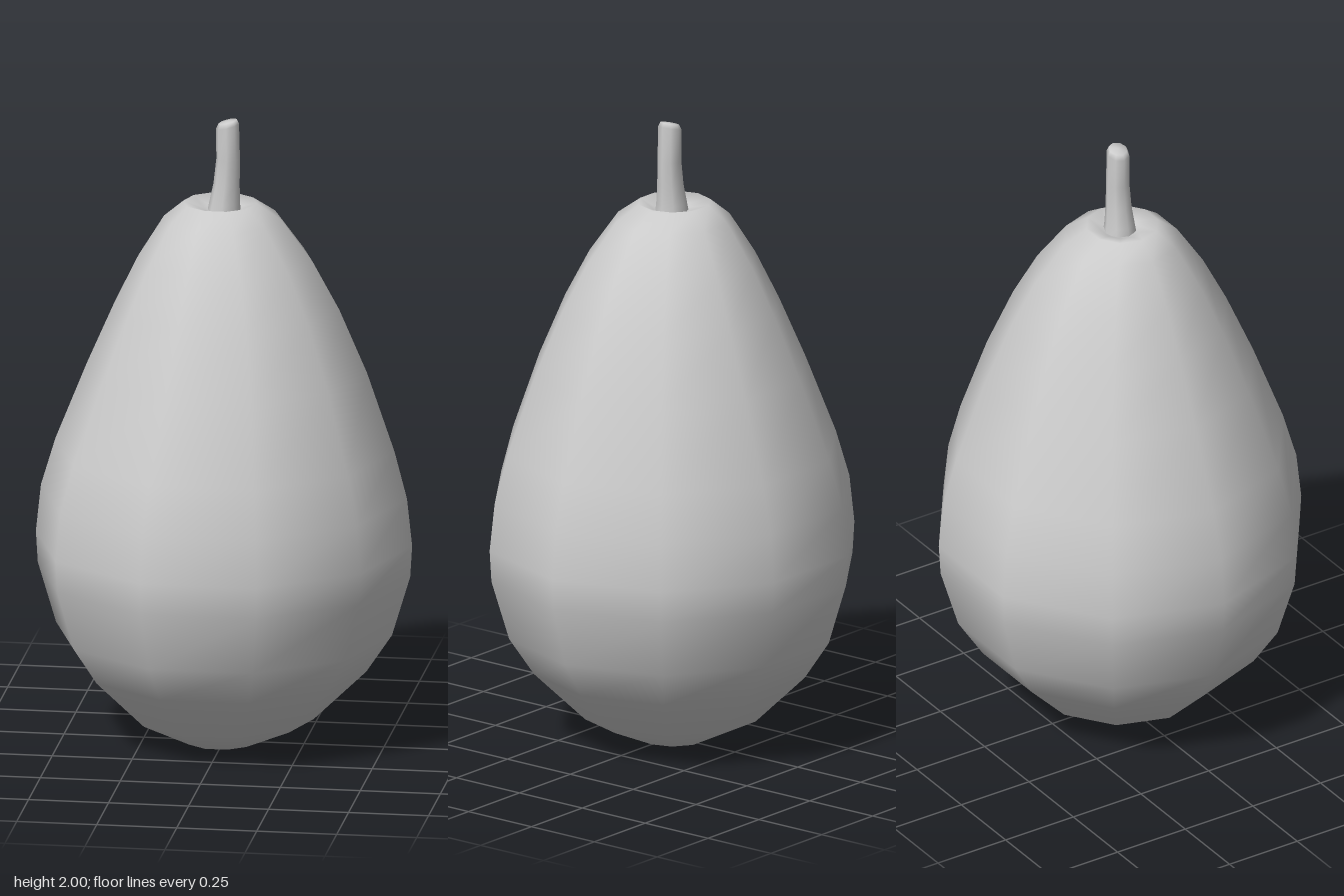
import * as THREE from 'three';

// Smooth skin over rings listed bottom to top: [y, radius, xShift, tilt]
function ringSkin(rings, sides, depth = 1) {
  const pos = [], index = [];
  rings.forEach(([y, r, shift = 0, tilt = 0], i) => {
    for (let j = 0; j < sides; j++) {
      const a = (j / sides) * Math.PI * 2;
      const x = r * Math.cos(a);
      pos.push(x + shift, y + x * tilt, r * Math.sin(a) * depth);
      if (i === rings.length - 1) continue;
      const p = i * sides + j, q = i * sides + (j + 1) % sides;
      if (r > 0) index.push(p, p + sides, q);
      if (rings[i + 1][1] > 0) index.push(q, p + sides, q + sides);
    }
  });
  // weld each closed end onto a single vertex so its shading stays smooth
  const first = rings[0][1] === 0, last = (rings.length - 1) * sides;
  const welded = index.map(v => (first && v < sides ? 0 : v >= last ? last : v));
  const geo = new THREE.BufferGeometry();
  geo.setAttribute('position', new THREE.Float32BufferAttribute(pos, 3));
  geo.setIndex(welded);
  geo.computeVertexNormals();
  return geo;
}

export function createModel() {
  const group = new THREE.Group();
  group.name = 'pear';
  const material = new THREE.MeshStandardMaterial({ color: 0xcccccc });
  const add = (name, geo) => {
    const mesh = new THREE.Mesh(geo, material);
    mesh.name = name;
    group.add(mesh);
  };

  // Ten-sided fruit with a shallow dimple at each end
  add('fruit', ringSkin([
    [0.03, 0], [0, 0.11, -0.01], [0.08, 0.28], [0.24, 0.445], [0.36, 0.525],
    [0.55, 0.582], [0.65, 0.588], [0.8, 0.572], [0.95, 0.53, 0.003], [1.2, 0.437, 0.01],
    [1.4, 0.35, 0.01], [1.55, 0.272, 0.005], [1.68, 0.183, -0.004], [1.73, 0.115, -0.012],
    [1.71, 0.06, -0.004], [1.69, 0],
  ], 10, 0.985));

  // Slightly bent stem with a slanted, softly rounded tip
  add('stem', ringSkin([
    [1.69, 0.054], [1.73, 0.048, 0.002], [1.79, 0.041, 0.008], [1.87, 0.037, 0.013],
    [1.975, 0.036, 0.011, 0.25], [1.99, 0.029, 0.012, 0.25], [1.993, 0, 0.012],
  ], 8));

  return group;
}
